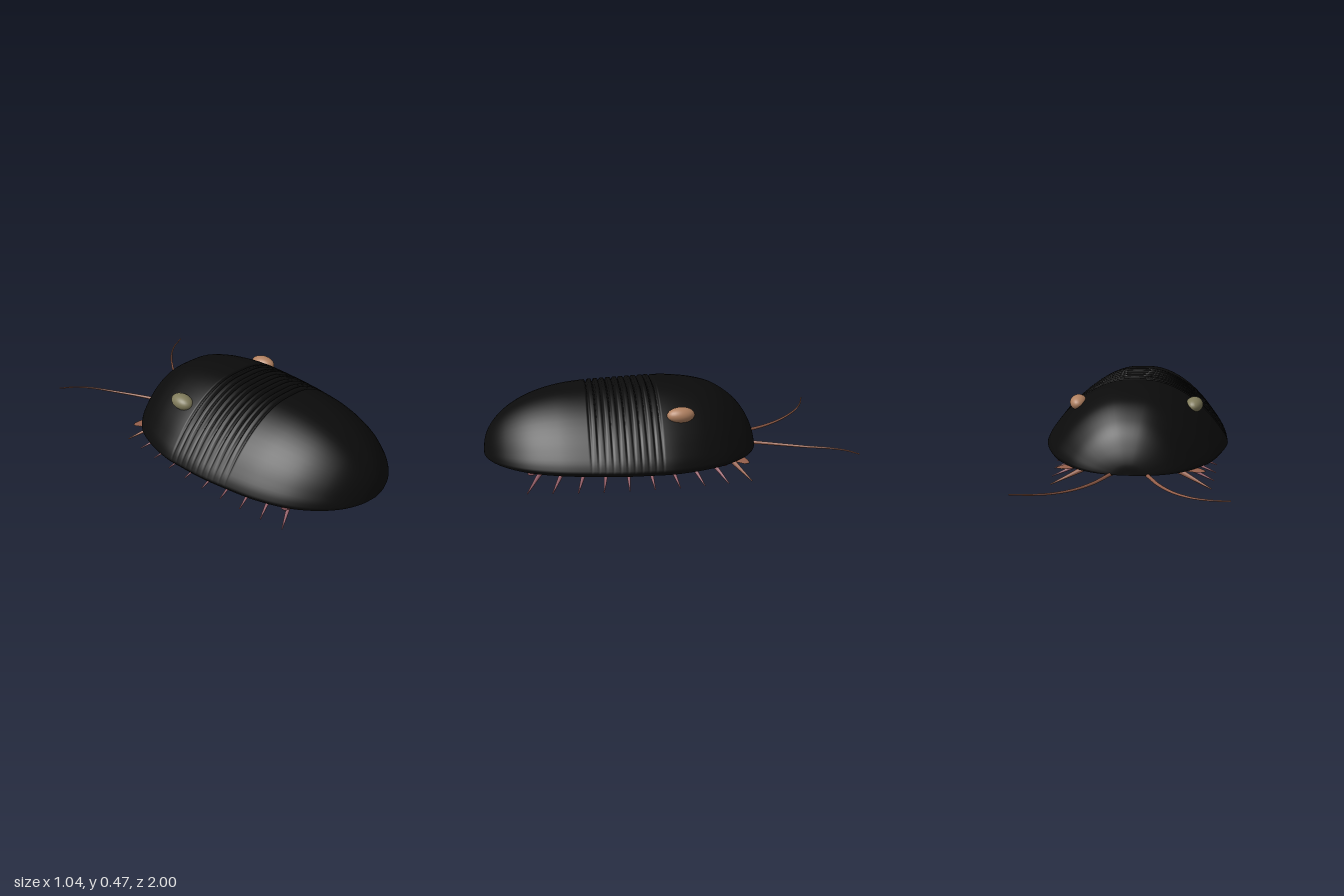
import * as THREE from 'three';

const mat = (name, color) => {
  const m = new THREE.MeshStandardMaterial({ color });
  m.name = name;
  return m;
};
const shellMat = mat('black shell', 0x0b0b0b);
const legMat = mat('rose leg', 0x935d67);
const gillMat = mat('dark rose gill', 0x7a4b50);
const feelerMat = mat('brown feeler', 0x96604c);
const leftEyeMat = mat('tan eye', 0xb08060);
const rightEyeMat = mat('olive eye', 0x7f7a5a);

const BASE = 0.1; // height of the shell rim
const V = (x, y, z) => new THREE.Vector3(x, y, z);

function add(parent, name, geometry, material) {
  const mesh = new THREE.Mesh(geometry, material);
  mesh.name = name;
  parent.add(mesh);
  return mesh;
}

// Tapered rod between two points
function rod(parent, name, a, b, ra, rb, material) {
  const dir = b.clone().sub(a);
  const mesh = add(parent, name, new THREE.CylinderGeometry(rb, ra, dir.length(), 10), material);
  mesh.position.copy(a).add(b).multiplyScalar(0.5);
  mesh.quaternion.setFromUnitVectors(V(0, 1, 0), dir.normalize());
  return mesh;
}

// Stations along the shell: half width, height above the rim, z
const stations = new THREE.CatmullRomCurve3([
  [0.005, 0.0, -0.533], [0.1, 0.06, -0.527], [0.2, 0.13, -0.5], [0.285, 0.205, -0.455],
  [0.345, 0.26, -0.4], [0.425, 0.325, -0.3], [0.47, 0.355, -0.2], [0.5, 0.37, -0.1],
  [0.518, 0.376, 0], [0.518, 0.375, 0.12], [0.513, 0.37, 0.25], [0.492, 0.364, 0.4],
  [0.455, 0.345, 0.58], [0.39, 0.3, 0.74], [0.3, 0.235, 0.86], [0.2, 0.16, 0.94],
  [0.1, 0.085, 0.983], [0.005, 0.0, 0.998],
].map((p) => V(...p)));

// Half cross-section from rim to crown, as fractions of half width and height
const half = new THREE.SplineCurve([
  [1, 0.06], [0.965, 0.17], [0.9, 0.3], [0.78, 0.505], [0.6, 0.73], [0.4, 0.895], [0.2, 0.985], [0, 1],
].map((p) => new THREE.Vector2(...p))).getPoints(18);

// Cross grooves of the thorax
function groove(z) {
  const t = (z - 0.05) / 0.0365;
  if (t < -0.25 || t > 10.25) return 1;
  return 1 - 0.055 * Math.max(0, Math.cos(t * Math.PI * 2)) ** 2;
}

function buildShell(group) {
  const side = [new THREE.Vector2(0.965, 0), ...half];
  const section = [...side, ...side.slice(0, -1).reverse().map((p) => new THREE.Vector2(-p.x, p.y))];
  const rows = stations.getSpacedPoints(400);
  const n = section.length;
  const pos = [], idx = [];
  rows.forEach((r, k) => {
    const h = Math.max(0, r.y) * groove(r.z);
    section.forEach((p, j) => {
      pos.push(p.x * r.x, BASE + p.y * h, r.z);
      if (k < rows.length - 1 && j < n - 1) {
        const a = k * n + j, c = a + n;
        idx.push(a, a + 1, c, a + 1, c + 1, c);
      }
    });
  });
  const g = new THREE.BufferGeometry();
  g.setAttribute('position', new THREE.Float32BufferAttribute(pos, 3));
  g.setIndex(idx);
  g.computeVertexNormals();
  add(group, 'shell', g, shellMat);

  // Flat belly closing the shell
  const edge = stations.getSpacedPoints(80);
  const outline = [
    ...edge.map((p) => new THREE.Vector2(p.x * 0.965, p.z)),
    ...edge.reverse().map((p) => new THREE.Vector2(-p.x * 0.965, p.z)),
  ];
  const belly = add(group, 'belly', new THREE.ShapeGeometry(new THREE.Shape(outline)), shellMat);
  belly.rotation.x = Math.PI / 2;
  belly.position.y = BASE;
}

// Two-jointed leg with a flat gill blade above it
function buildLeg(group, s, i) {
  const leg = new THREE.Group();
  leg.name = (s > 0 ? 'left' : 'right') + 'Leg' + (i + 1);
  const spread = (i - 4.5) / 4.5; // -1 at the head, 1 at the tail
  const a = spread * 0.46;
  const baseZ = 0.157 + spread * 0.425;
  const at = (d, y) => V(s * (0.08 + d * Math.cos(a)), y, baseZ + d * Math.sin(a));
  const m = i === 0 ? feelerMat : legMat;
  const knee = at(0.17, 0.08);
  rod(leg, 'upperLeg', at(0, 0.094), knee, 0.009, 0.017, m);
  add(leg, 'knee', new THREE.SphereGeometry(0.017, 10, 8), m).position.copy(knee);
  rod(leg, 'lowerLeg', knee, at(0.385, 0.005), 0.017, 0.003, m);
  const gill = add(leg, 'gill', new THREE.SphereGeometry(1, 16, 8), i === 0 ? feelerMat : gillMat);
  gill.scale.set(0.16, 0.003, 0.05);
  gill.position.copy(at(0.19, 0.093));
  gill.rotation.y = -s * a;
  group.add(leg);
}

// Curved feeler thinning towards its tip
function buildFeeler(group, s) {
  const curve = new THREE.CatmullRomCurve3([
    [0.05, 0.093, -0.42], [0.1, 0.1, -0.53], [0.16, 0.103, -0.66], [0.24, 0.113, -0.79],
    [0.33, 0.132, -0.9], [0.41, 0.147, -0.96], [0.503, 0.16, -0.998],
  ].map(([x, y, z]) => V(s * x, y, z)));
  const rings = 40, sides = 8;
  const g = new THREE.TubeGeometry(curve, rings, 0.011, sides);
  const p = g.attributes.position;
  for (let i = 0; i < p.count; i++) {
    const t = Math.floor(i / (sides + 1)) / rings;
    const c = curve.getPointAt(t);
    const v = V(0, 0, 0).fromBufferAttribute(p, i).sub(c).multiplyScalar(1 - 0.7 * t).add(c);
    p.setXYZ(i, v.x, v.y, v.z);
  }
  add(group, s > 0 ? 'leftFeeler' : 'rightFeeler', g, feelerMat);
}

function buildEye(group, s) {
  const eye = add(group, s > 0 ? 'leftEye' : 'rightEye', new THREE.SphereGeometry(1, 28, 18), s > 0 ? leftEyeMat : rightEyeMat);
  eye.scale.set(0.048, 0.042, 0.075);
  eye.position.set(s * 0.325, 0.363, -0.065);
  eye.rotation.y = s * 0.08;
}

export function createModel() {
  const group = new THREE.Group();
  group.name = 'trilobite';
  buildShell(group);
  for (const s of [1, -1]) {
    buildEye(group, s);
    buildFeeler(group, s);
    for (let i = 0; i < 10; i++) buildLeg(group, s, i);
  }
  return group;
}
